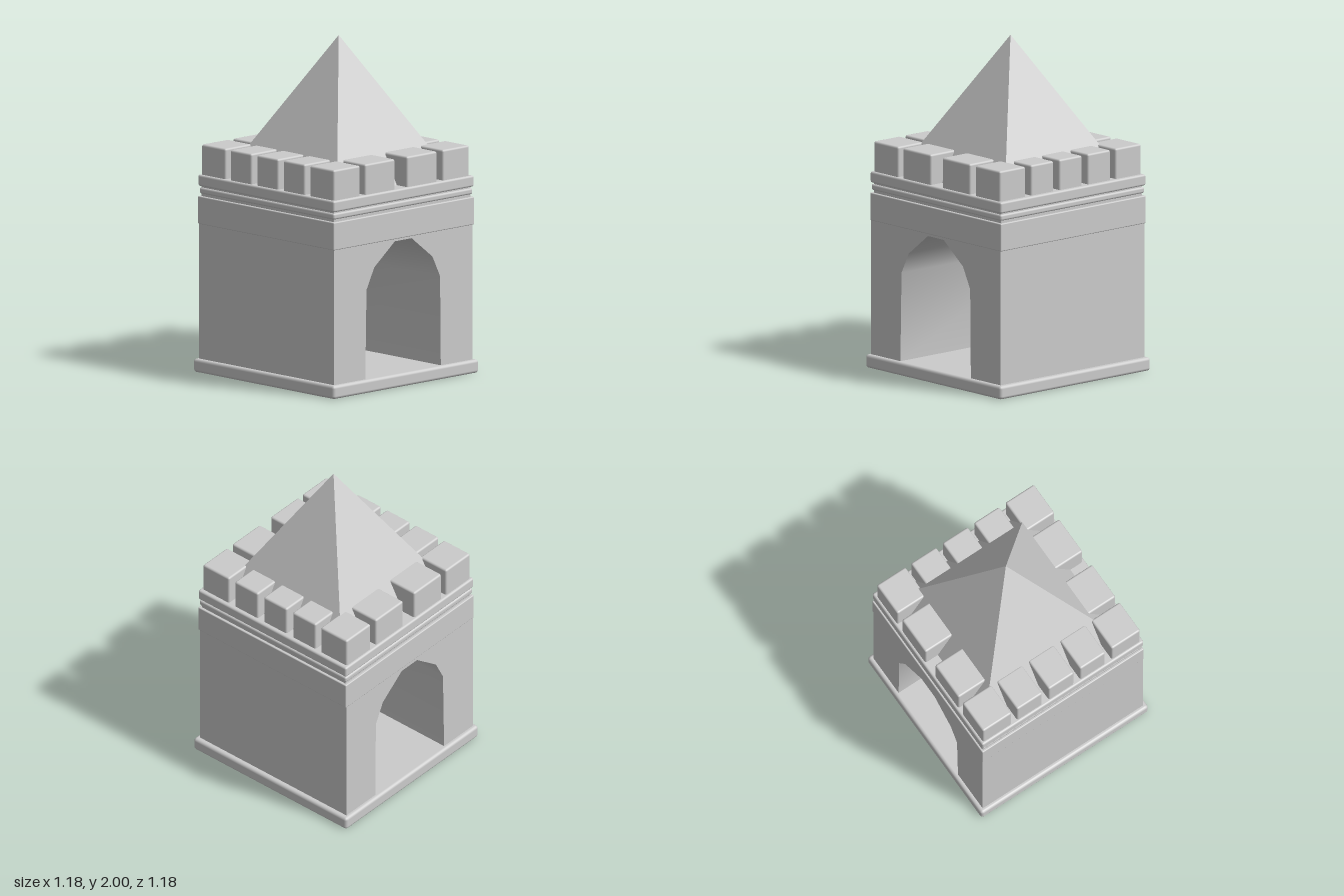
import * as THREE from 'three';
import { toCreasedNormals } from 'three/addons/utils/BufferGeometryUtils.js';
import { RoundedBoxGeometry } from 'three/addons/geometries/RoundedBoxGeometry.js';

const material = new THREE.MeshStandardMaterial({ color: 0xcccccc });

export function createModel() {
  const model = new THREE.Group();
  model.name = 'gatehouse';

  const add = (name, geometry, parent = model) => {
    const mesh = new THREE.Mesh(geometry, material);
    mesh.name = name;
    parent.add(mesh);
    return mesh;
  };

  // Rounded block given by its limits on each axis
  const block = (name, [x0, x1], [y0, y1], [z0, z1], radius, parent) => {
    const mesh = add(name, new RoundedBoxGeometry(x1 - x0, y1 - y0, z1 - z0, 2, radius), parent);
    mesh.position.set((x0 + x1) / 2, (y0 + y1) / 2, (z0 + z1) / 2);
    return mesh;
  };

  // Base slab
  block('baseSlab', [-0.59, 0.59], [0, 0.08], [-0.59, 0.59], 0.018);

  // Walls with a faceted archway running from front to back
  const outline = new THREE.Shape([
    [-0.565, 0.07], [-0.31, 0.07], [-0.3, 0.61], [-0.237, 0.735], [-0.07, 0.867],
    [0.066, 0.867], [0.235, 0.735], [0.297, 0.61], [0.303, 0.07],
    [0.56, 0.07], [0.56, 0.89], [-0.565, 0.89],
  ].map(([x, y]) => new THREE.Vector2(x, y)));
  const walls = new THREE.ExtrudeGeometry(outline, { depth: 1.13, bevelEnabled: false });
  walls.translate(0, 0, -0.565);
  // The vault drops slightly toward the back
  const p = walls.attributes.position;
  for (let i = 0; i < p.count; i++) {
    if (p.getZ(i) < 0 && Math.abs(p.getX(i)) < 0.4 && p.getY(i) > 0.5) p.setY(i, p.getY(i) - 0.01);
  }
  add('archedWalls', toCreasedNormals(walls, 0.75));

  // Band and cornice courses: half width, bottom, top, edge radius
  const courses = [
    ['wallBand', 0.57, 0.88, 1.045, 0.006],
    ['corniceCore', 0.555, 1.03, 1.12, 0.004],
    ['corniceBead', 0.565, 1.06, 1.097, 0.012],
    ['corniceSlab', 0.57, 1.105, 1.172, 0.012],
  ];
  for (const [name, h, y0, y1, r] of courses) block(name, [-h, h], [y0, y1], [-h, h], r);

  // Battlements
  const battlements = new THREE.Group();
  battlements.name = 'battlements';
  model.add(battlements);
  const height = [1.16, 1.352];
  const leftX = [0.33, 0.545], rightX = [-0.555, -0.34];
  for (const s of [1, -1]) {
    const z = s > 0 ? [0.353, 0.555] : [-0.555, -0.353];
    for (const x of [leftX, rightX]) block('cornerMerlon', x, height, z, 0.012, battlements);
    for (const x of [[-0.3, -0.057], [0.04, 0.284]]) {
      block(s > 0 ? 'frontMerlon' : 'backMerlon', x, height, z, 0.012, battlements);
    }
  }
  for (const z of [-0.225, -0.002, 0.22]) {
    block('leftMerlon', leftX, height, [z - 0.089, z + 0.089], 0.012, battlements);
    block('rightMerlon', rightX, height, [z - 0.089, z + 0.089], 0.012, battlements);
  }

  // Pyramid roof
  const roof = new THREE.ConeGeometry(0.47 * Math.SQRT2, 0.832, 4).rotateY(Math.PI / 4);
  add('pyramidRoof', toCreasedNormals(roof.toNonIndexed(), 0.3)).position.set(0.022, 1.584, 0);

  return model;
}
